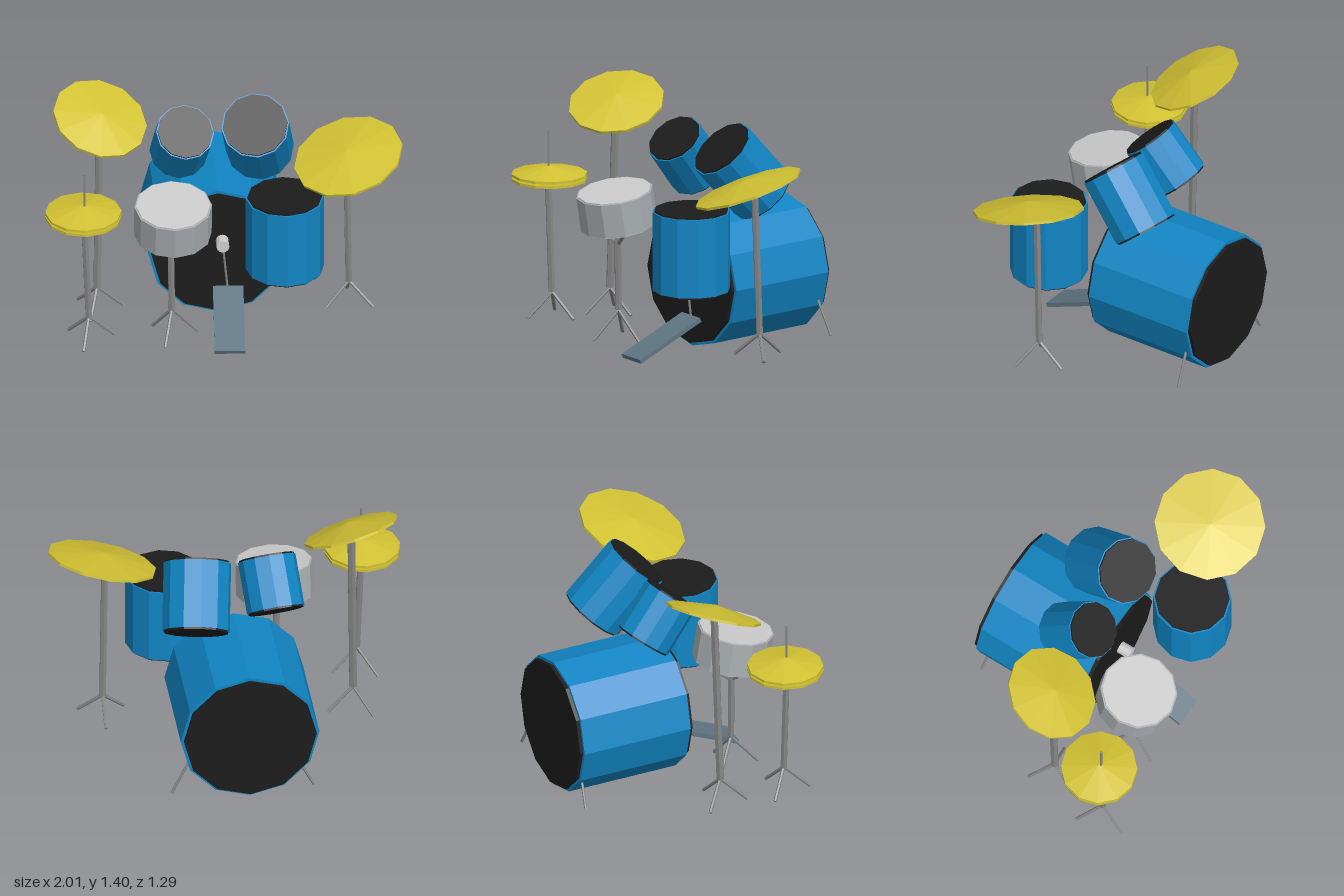
import * as THREE from 'three';

const mat = (color) => new THREE.MeshStandardMaterial({ color, flatShading: true });
const BLUE = mat(0x1185c4), BLACK = mat(0x1c1c1c), BRASS = mat(0xd2c233);
const STEEL = mat(0x858585), SLATE = mat(0x5f7583), SHELL = mat(0xa9aeb1), GREY = mat(0xcccccc);
const UP = new THREE.Vector3(0, 1, 0);
const V = (p) => new THREE.Vector3(...p);

// Cylinder running from point a to point b
function rod(name, a, b, r, material, sides = 6) {
  const dir = V(b).sub(V(a));
  const mesh = new THREE.Mesh(new THREE.CylinderGeometry(r, r, dir.length(), sides), material);
  mesh.position.copy(V(a)).addScaledVector(dir, 0.5);
  mesh.quaternion.setFromUnitVectors(UP, dir.normalize());
  mesh.name = name;
  return mesh;
}

// Twelve-sided shell with a slightly smaller head standing proud at each end
function drum(name, bottom, top, r, lip, shell = BLUE, topHead = BLACK, bottomHead = BLACK) {
  const g = new THREE.Group();
  g.name = name;
  const axis = V(top).sub(V(bottom)).normalize();
  const along = (p, d) => V(p).addScaledVector(axis, d).toArray();
  g.add(
    rod('shell', bottom, top, r, shell, 12),
    rod('topHead', along(top, -lip), along(top, lip), r * 0.955, topHead, 12),
    rod('bottomHead', along(bottom, -lip), along(bottom, lip), r * 0.955, bottomHead, 12),
  );
  return g;
}

// Shallow hollow cone with a thin rim
function cymbal(name, centre, normal, r) {
  const profile = [[0, 0.04], [r, 0], [r, 0.015], [0, 0.06]].map(([x, y]) => new THREE.Vector2(x, y));
  const mesh = new THREE.Mesh(new THREE.LatheGeometry(profile, 12), BRASS);
  mesh.position.copy(V(centre));
  mesh.quaternion.setFromUnitVectors(UP, V(normal).normalize());
  mesh.name = name;
  return mesh;
}

// Pole on three splayed legs
function stand(name, top, base, r, footY, turn) {
  const g = new THREE.Group();
  g.name = name;
  g.add(rod('pole', base, top, r, STEEL));
  for (let i = 0; i < 3; i++) {
    const a = THREE.MathUtils.degToRad(turn + i * 120);
    const foot = [base[0] + 0.15 * Math.cos(a), footY, base[2] + 0.15 * Math.sin(a)];
    g.add(rod('leg', base, foot, 0.01, STEEL));
  }
  return g;
}

export function createModel() {
  const model = new THREE.Group();
  model.name = 'drumKit';

  // Drums
  model.add(
    drum('bassDrum', [-0.008, 0.4, -0.62], [-0.008, 0.397, 0.04], 0.39, 0.02),
    drum('leftTom', [0.245, 0.885, -0.252], [0.203, 1.172, -0.004], 0.19, 0.01),
    drum('rightTom', [-0.215, 0.93, -0.165], [-0.19, 1.155, 0.018], 0.163, 0.01),
    drum('floorTom', [0.345, 0.45, 0.335], [0.345, 0.9, 0.335], 0.218, 0.01),
    drum('snareDrum', [-0.28, 0.7, 0.345], [-0.28, 0.893, 0.378], 0.217, 0.006, SHELL, GREY, GREY),
  );

  // Bass drum spurs
  model.add(
    rod('leftSpur', [0.32, 0.26, -0.583], [0.43, 0.05, -0.6], 0.008, STEEL),
    rod('rightSpur', [-0.27, 0.22, -0.583], [-0.37, 0.035, -0.6], 0.008, STEEL),
  );

  // Cymbals
  model.add(
    cymbal('leftCrash', [0.71, 1.075, 0.22], [-0.25, 1, 0.24], 0.31),
    cymbal('rightCrash', [-0.67, 1.27, 0.045], [0.27, 1, 0.41], 0.27),
    cymbal('hiHatTop', [-0.785, 0.895, 0.435], [0, 1, 0], 0.213),
    cymbal('hiHatBottom', [-0.785, 0.885, 0.435], [0, -1, 0], 0.213),
    rod('hiHatRod', [-0.78, 0.82, 0.445], [-0.78, 1.155, 0.445], 0.007, STEEL),
  );

  // Stands
  model.add(
    stand('leftCrashStand', [0.7, 1.09, 0.17], [0.715, 0.24, 0.145], 0.02, 0.11, 30),
    stand('rightCrashStand', [-0.67, 1.26, 0.05], [-0.685, 0.215, 0.08], 0.023, 0.075, -12),
    stand('hiHatStand', [-0.78, 0.83, 0.445], [-0.755, 0.235, 0.44], 0.02, 0.095, -15),
    stand('snareStand', [-0.292, 0.66, 0.345], [-0.285, 0.21, 0.345], 0.02, 0.045, -12),
  );

  // Struts cradling the snare
  for (const deg of [20, 160, 270]) {
    const a = THREE.MathUtils.degToRad(deg);
    const tip = [-0.29 + 0.14 * Math.cos(a), 0.69, 0.345 + 0.14 * Math.sin(a)];
    model.add(rod('snareStrut', [-0.29, 0.58, 0.345], tip, 0.01, STEEL));
  }

  // Kick pedal: sloping board, rod and beater
  const board = new THREE.Mesh(new THREE.BoxGeometry(0.17, 0.025, 0.455), SLATE);
  board.name = 'pedalBoard';
  board.position.set(0.037, 0.102, 0.298);
  board.rotation.set(0.4, -0.04, 0, 'YXZ');
  model.add(
    board,
    rod('beaterRod', [0.045, 0.16, 0.09], [0.015, 0.47, 0.105], 0.007, STEEL),
    rod('beater', [0.013, 0.482, 0.07], [0.013, 0.482, 0.145], 0.036, GREY, 12),
  );

  return model;
}
